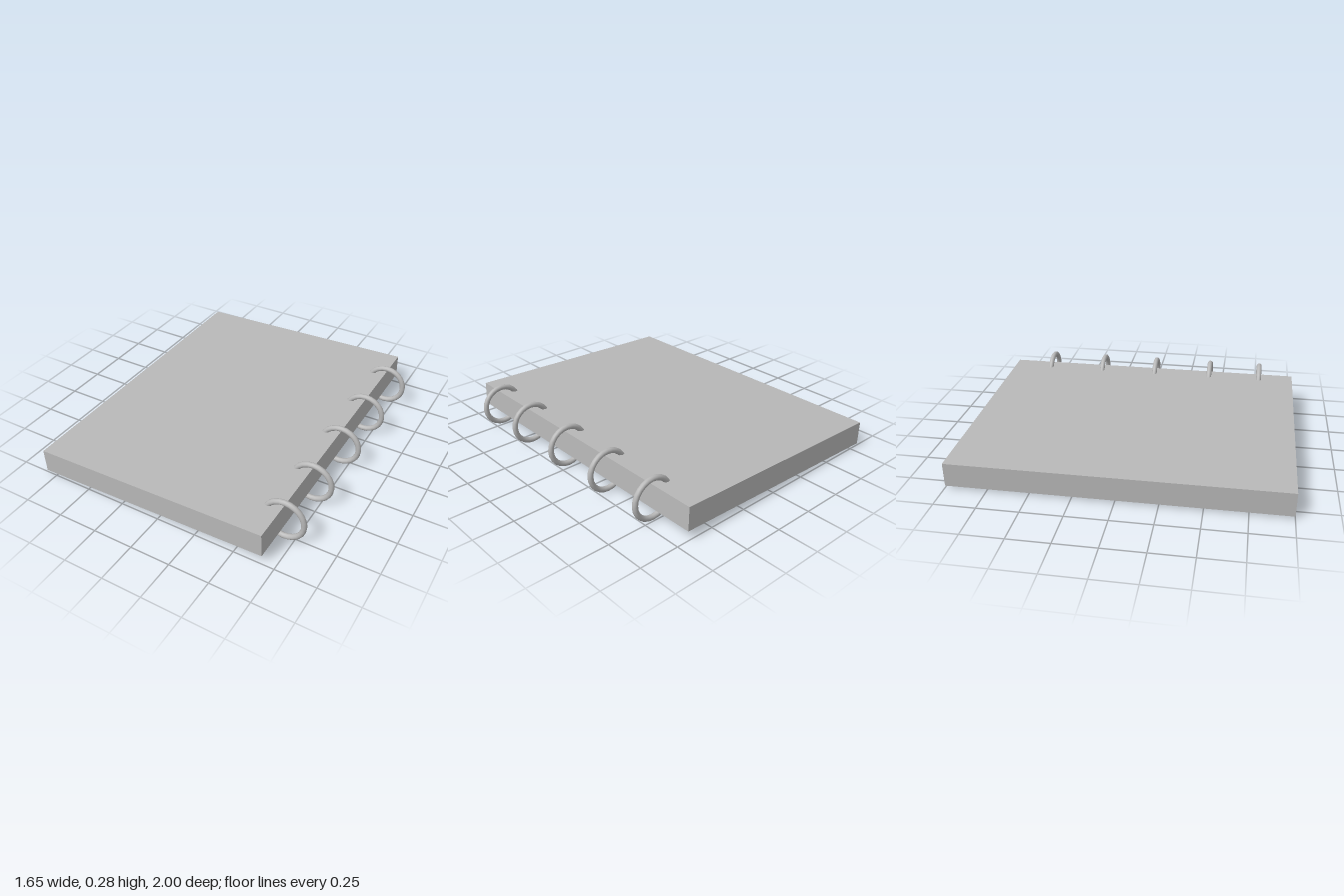
import * as THREE from 'three';

export function createModel() {
  const model = new THREE.Group();
  model.name = 'ringBinder';
  const grey = new THREE.MeshStandardMaterial({ color: 0xb8b8b8 });
  grey.name = 'grey';

  // Thick page block, tilted so the bound edge sits higher
  const pages = new THREE.Mesh(new THREE.BoxGeometry(1.496, 0.148, 2), grey);
  pages.name = 'pageBlock';
  pages.position.set(-0.075, 0.11, 0);
  pages.rotation.z = Math.atan2(0.047, 1.495);
  model.add(pages);

  // Binding rings, slightly unevenly spaced along the right edge
  const ringGeometry = new THREE.TorusGeometry(0.121, 0.017, 12, 24);
  [-0.735, -0.354, 0.028, 0.419, 0.769].forEach((z, i) => {
    const ring = new THREE.Mesh(ringGeometry, grey);
    ring.name = `bindingRing${i + 1}`;
    ring.position.set(0.686, 0.138, z);
    model.add(ring);
  });

  return model;
}
